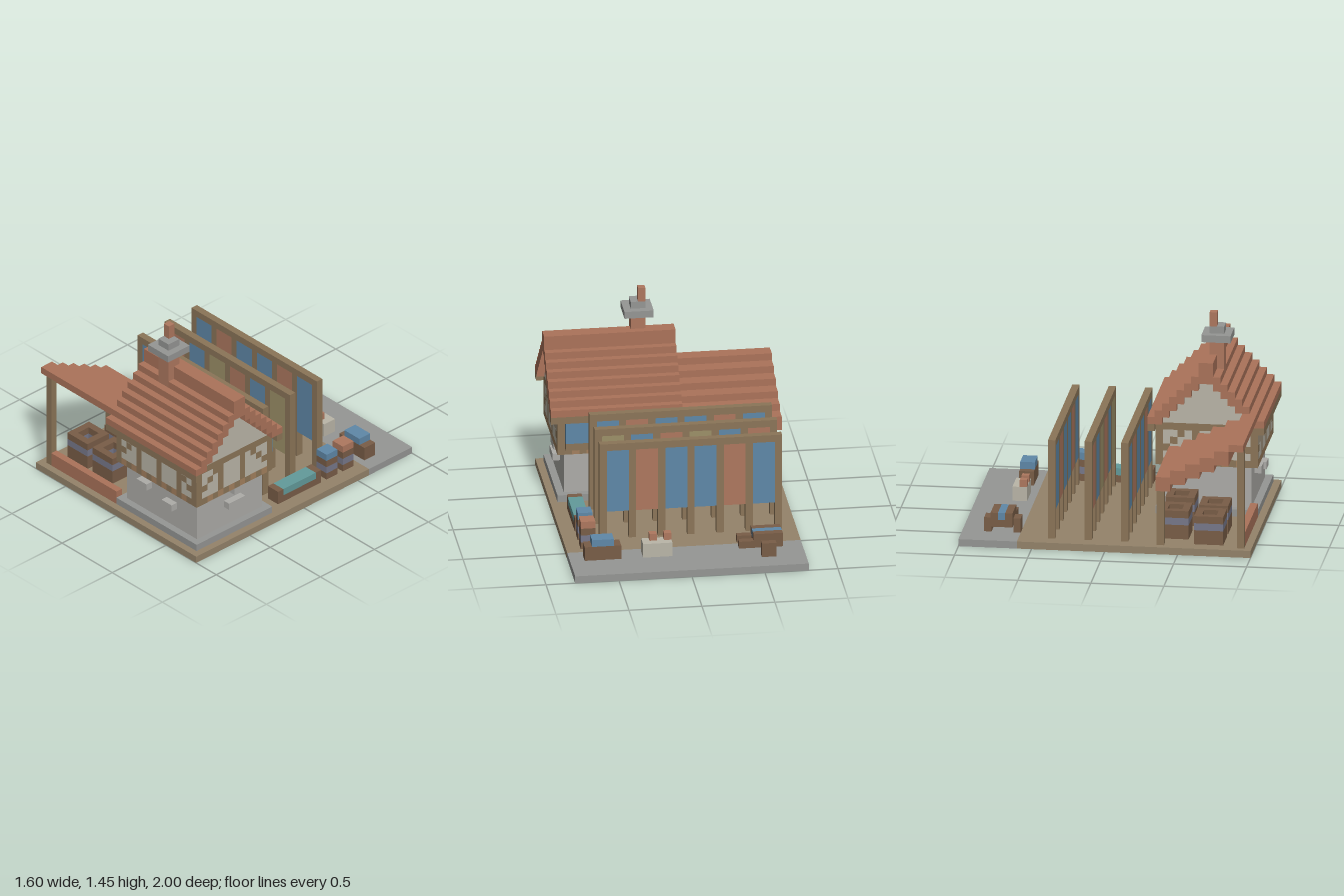
import * as THREE from 'three';

const U = 0.05; // edge of one block
const C = {
  soil: 0x94836a, paving: 0x959694, stone: 0xadaca8, plaster: 0xbab6a8, wood: 0x8b7558, beamEnd: 0xa3805e,
  dark: 0x795d47, roof: 0xab735a, brick: 0xae785f, blue: 0x5f88a8, olive: 0x9c9068, teal: 0x629b9b, band: 0x77788a,
};

export function createModel() {
  const cells = new Map();
  const key = (x, y, z) => `${x},${y},${z}`;
  const n = (v) => Math.round(v / U);

  // Fill a block-aligned box; a null color carves it away. Later fills replace earlier ones.
  function fill(part, color, x0, x1, y0, y1, z0, z1) {
    for (let x = n(x0); x < n(x1); x++)
      for (let y = n(y0); y < n(y1); y++)
        for (let z = n(z0); z < n(z1); z++) {
          if (color === null) cells.delete(key(x, y, z));
          else cells.set(key(x, y, z), { part, color, p: [x, y, z] });
        }
  }

  // Ground
  fill('ground', C.soil, -0.8, 0.8, 0, 0.05, -0.6, 1);
  fill('pavedStrip', C.paving, -0.8, 0.8, 0, 0.05, -1, -0.6);

  // Stone ground floor with projecting stones
  fill('foundation', C.paving, -0.05, 0.75, 0.05, 0.1, 0.25, 0.95);
  fill('stoneWalls', C.stone, 0, 0.7, 0.1, 0.4, 0.3, 0.9);
  fill('projectingStones', C.stone, 0.15, 0.25, 0.3, 0.35, 0.9, 0.95);
  fill('projectingStones', C.stone, 0.4, 0.5, 0.25, 0.3, 0.9, 0.95);
  fill('projectingStones', C.stone, 0.7, 0.75, 0.35, 0.4, 0.45, 0.6);
  fill('projectingStones', C.stone, 0.7, 0.75, 0.25, 0.3, 0.5, 0.65);
  fill('projectingStones', C.stone, 0.3, 0.4, 0.2, 0.25, 0.25, 0.3);

  // Plastered upper floor with timber posts on all four sides
  fill('upperWalls', C.plaster, -0.05, 0.75, 0.4, 0.7, 0.25, 0.95);
  for (const x of [0.15, 0.35, 0.55]) fill('timberFrame', C.wood, x, x + U, 0.45, 0.65, 0.25, 0.95);
  for (const z of [0.7, 0.5]) fill('timberFrame', C.wood, -0.05, 0.75, 0.45, 0.65, z, z + U);
  for (const x of [-0.05, 0.7])
    for (const z of [0.25, 0.9]) fill('timberFrame', C.wood, x, x + U, 0.45, 0.65, z, z + U);
  fill('timberFrame', C.wood, -0.05, 0.75, 0.65, 0.7, 0.25, 0.95);
  fill('timberFrame', C.wood, -0.05, 0.75, 0.4, 0.45, 0.25, 0.95);

  // Stepped braces beside the corner posts
  for (let i = 0; i < 3; i++) {
    const y = 0.5 + i * U, d = i * U;
    for (const z of [0.25, 0.9])
      for (const x of [d, 0.65 - d]) fill('timberFrame', C.wood, x, x + U, y, y + U, z, z + U);
    for (const x of [-0.05, 0.7])
      for (const z of [0.3 + d, 0.85 - d]) fill('timberFrame', C.wood, x, x + U, y, y + U, z, z + U);
  }

  // Joist ends showing along the jetty
  for (let x = 0; x < 0.7; x += 0.1) fill('joistEnds', C.beamEnd, x, x + U, 0.4, 0.45, 0.25, 0.95);
  for (let z = 0.3; z < 0.88; z += 0.1)
    for (const x of [-0.05, 0.7]) fill('joistEnds', C.beamEnd, x, x + U, 0.4, 0.45, z, z + U);

  // Bay window at the back
  fill('bayWindow', C.wood, 0.45, 0.7, 0.45, 0.7, 0.2, 0.25);
  fill('bayWindow', C.blue, 0.5, 0.7, 0.5, 0.65, 0.2, 0.25);

  // Gables and stepped main roof
  for (let i = 0; i < 8; i++) {
    const d = i * U, y = 0.65 + d;
    fill('gables', C.plaster, -0.05, 0.75, 0.7, Math.max(0.7, y), 0.2 + d, 1 - d);
    for (const z of [0.2 + d, 0.95 - d]) {
      fill('mainRoof', C.roof, -0.1, 0.8, y, y + 0.1, z, z + U);
      if (i === 0) fill('eaves', C.wood, -0.1, 0.8, y, y + U, z, z + U);
    }
  }
  fill('ridge', C.roof, -0.1, 0.8, 1.05, 1.15, 0.55, 0.65);

  // Chimney
  fill('chimney', C.brick, 0.1, 0.2, 1, 1.25, 0.6, 0.7);
  fill('chimneyCap', C.paving, 0.05, 0.25, 1.25, 1.3, 0.55, 0.75);
  fill('chimneyCap', C.paving, 0.1, 0.2, 1.3, 1.35, 0.6, 0.7);
  fill('chimneyPot', C.brick, 0.1, 0.15, 1.35, 1.45, 0.6, 0.65);

  // Lean-to: roof falling to the back, posts, beam and front curb
  for (let i = 0; i < 6; i++) {
    const top = 0.8 - i * U, z = 0.85 - i * 0.1;
    fill('leanToRoof', C.roof, -0.8, -0.1, top - (i ? 0.1 : U), top, z, z + 0.1);
  }
  fill('leanToBeam', C.wood, -0.7, -0.1, 0.45, 0.5, 0.4, 0.45);
  fill('leanToPosts', C.wood, -0.75, -0.7, 0.05, 0.75, 0.9, 0.95);
  fill('leanToPosts', C.wood, -0.75, -0.7, 0.05, 0.45, 0.35, 0.4);
  fill('frontCurb', C.roof, -0.7, -0.05, 0.05, 0.15, 0.9, 0.95);

  // Open vats under the lean-to
  for (const [x, z] of [[-0.7, 0.6], [-0.45, 0.6], [-0.6, 0.35], [-0.3, 0.35]]) {
    fill('vats', C.dark, x, x + 0.2, 0.05, 0.25, z, z + 0.2);
    fill('vats', C.band, x, x + 0.2, 0.15, 0.2, z, z + 0.2);
    fill('vats', C.dark, x + U, x + 0.15, 0.1, 0.15, z + U, z + 0.15);
    fill('vats', null, x + U, x + 0.15, 0.15, 0.25, z + U, z + 0.15);
  }

  // Three drying racks with hanging cloths
  const rows = [
    [0.1, [C.blue, C.brick, C.blue]],
    [-0.15, [C.brick, C.blue, C.olive]],
    [-0.4, [C.blue, C.brick, C.blue]],
  ];
  for (const [z, colors] of rows) {
    fill('dryingRacks', C.wood, -0.7, 0.55, 0.7, 0.75, z, z + U);
    for (let i = 0; i < 7; i++) {
      const x = -0.7 + i * 0.2;
      fill('dryingRacks', C.wood, x, x + U, 0.05, 0.7, z, z + U);
      if (i < 6) fill('hangingCloths', colors[i % 3], x + U, x + 0.2, 0.25, 0.7, z, z + U);
    }
  }

  // Water trough
  fill('trough', C.dark, 0.6, 0.7, 0.05, 0.15, -0.25, 0.15);
  fill('troughWater', C.teal, 0.6, 0.7, 0.1, 0.15, -0.2, 0.1);

  // Dye barrels
  for (const [z, color] of [[-0.4, C.blue], [-0.55, C.brick]]) {
    fill('barrels', C.dark, 0.6, 0.7, 0.05, 0.2, z, z + 0.1);
    fill('barrels', C.band, 0.6, 0.7, 0.1, 0.15, z, z + 0.1);
    fill('barrelDye', color, 0.6, 0.7, 0.2, 0.25, z, z + 0.1);
  }

  // Cloth crate
  fill('crate', C.dark, 0.45, 0.7, 0.05, 0.15, -0.75, -0.65);
  fill('crateCloth', C.blue, 0.5, 0.65, 0.15, 0.2, -0.75, -0.65);

  // Stone work block with two small bricks
  fill('workBlock', C.plaster, 0.1, 0.3, 0.05, 0.15, -0.75, -0.65);
  for (const x of [0.1, 0.2]) fill('smallBricks', C.brick, x, x + U, 0.15, 0.2, -0.7, -0.65);

  // Handcart
  fill('cartBody', C.dark, -0.65, -0.45, 0.1, 0.2, -0.8, -0.65);
  fill('cartCloth', C.blue, -0.65, -0.45, 0.15, 0.2, -0.75, -0.7);
  for (const z of [-0.8, -0.7]) fill('cartHandles', C.dark, -0.45, -0.35, 0.1, 0.15, z, z + U);
  for (const z of [-0.85, -0.65]) fill('cartWheels', C.dark, -0.6, -0.5, 0.05, 0.15, z, z + U);

  // Collect the exposed faces by part and color; the slab stays open underneath
  const parts = new Map();
  for (const { part, color, p } of cells.values()) {
    if (!parts.has(part)) parts.set(part, new Map());
    const byColor = parts.get(part);
    if (!byColor.has(color)) byColor.set(color, { pos: [], nor: [] });
    const out = byColor.get(color);
    for (let a = 0; a < 3; a++)
      for (const s of [1, -1]) {
        const q = [...p];
        q[a] += s;
        if (cells.has(key(...q)) || q[1] < 0) continue;
        const normal = [0, 0, 0];
        normal[a] = s;
        const corners = [[0, 0], [1, 0], [1, 1], [0, 1]].map(([u, v]) => {
          const c = [...p];
          if (s > 0) c[a] += 1;
          c[(a + 1) % 3] += u;
          c[(a + 2) % 3] += v;
          return c.map((t) => t * U);
        });
        if (s < 0) corners.reverse();
        for (const i of [0, 1, 2, 0, 2, 3]) {
          out.pos.push(...corners[i]);
          out.nor.push(...normal);
        }
      }
  }

  const model = new THREE.Group();
  for (const [name, byColor] of parts) {
    const group = new THREE.Group();
    group.name = name;
    for (const [color, { pos, nor }] of byColor) {
      if (!pos.length) continue;
      const geometry = new THREE.BufferGeometry();
      geometry.setAttribute('position', new THREE.Float32BufferAttribute(pos, 3));
      geometry.setAttribute('normal', new THREE.Float32BufferAttribute(nor, 3));
      const mesh = new THREE.Mesh(geometry, new THREE.MeshStandardMaterial({ color, side: THREE.DoubleSide }));
      mesh.name = name;
      group.add(mesh);
    }
    model.add(group);
  }
  return model;
}
